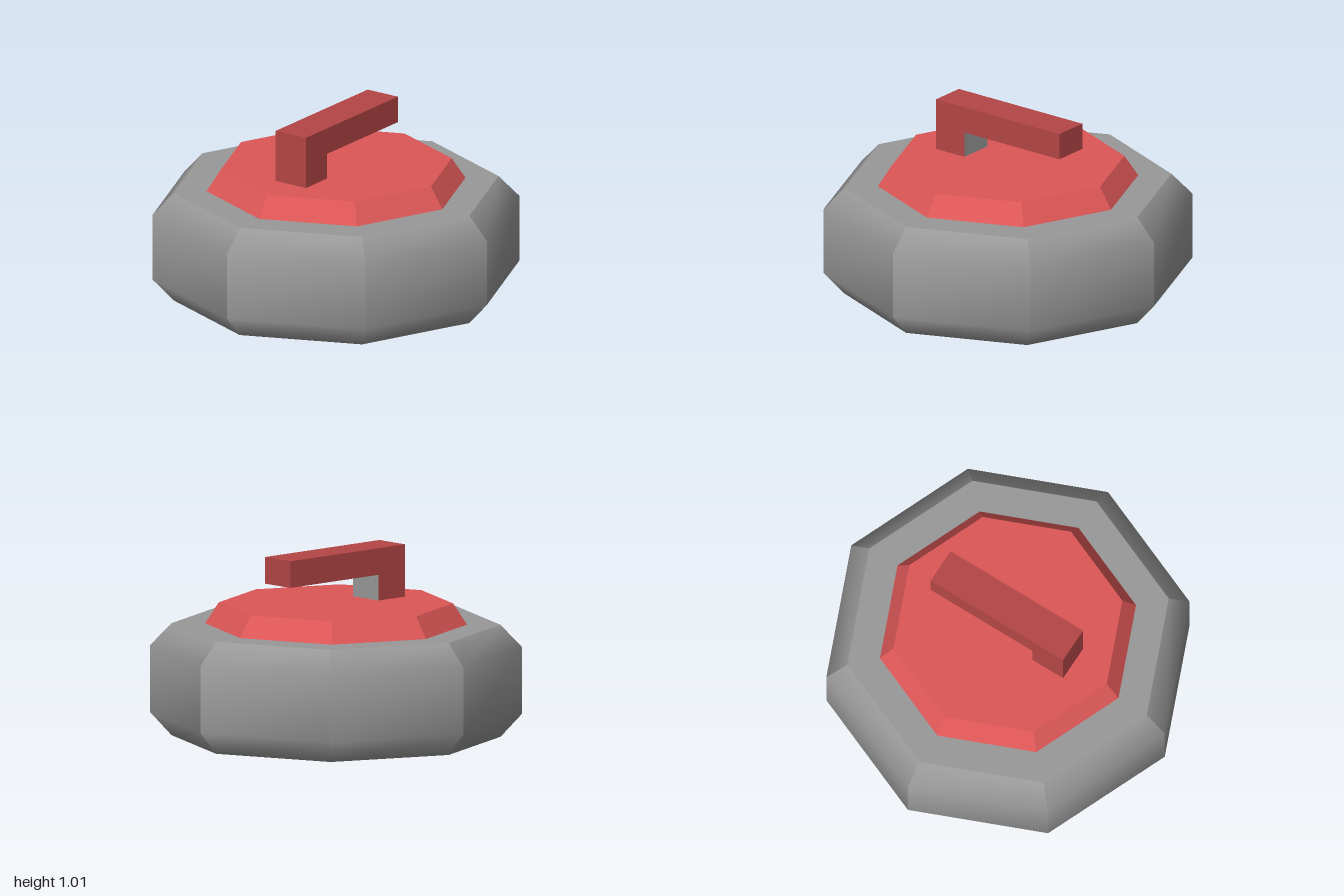
import * as THREE from 'three';
import { mergeGeometries } from 'three/addons/utils/BufferGeometryUtils.js';

const SIDES = 8;

// Flat octagonal lid with corners on the x and z axes.
function lid(radius, y, facing) {
  const g = new THREE.CircleGeometry(radius, SIDES);
  g.rotateX(-facing * Math.PI / 2).translate(0, y, 0);
  g.deleteAttribute('uv');
  return g;
}

// Octagonal solid from [radius, y] rings, bottom to top: each side is smooth
// along its height, with hard edges between sides and at the lids.
function octagonSolid(rings) {
  const pos = [], idx = [];
  for (let s = 0; s < SIDES; s++) {
    const base = pos.length / 3;
    for (const [r, y] of rings) {
      for (const k of [s, s + 1]) {
        const a = k / SIDES * Math.PI * 2;
        pos.push(r * Math.cos(a), y, r * Math.sin(a));
      }
    }
    for (let i = 0; i < rings.length - 1; i++) {
      const b = base + i * 2;
      idx.push(b, b + 2, b + 1, b + 1, b + 2, b + 3);
    }
  }
  const wall = new THREE.BufferGeometry();
  wall.setAttribute('position', new THREE.Float32BufferAttribute(pos, 3));
  wall.setIndex(idx);
  wall.computeVertexNormals();
  const first = rings[0], last = rings[rings.length - 1];
  return mergeGeometries([wall, lid(first[0], first[1], -1), lid(last[0], last[1], 1)]);
}

// Box given by its x and y limits, centred on z.
function block(x0, x1, y0, y1, depth) {
  return new THREE.BoxGeometry(x1 - x0, y1 - y0, depth)
    .translate((x0 + x1) / 2, (y0 + y1) / 2, 0);
}

export function createModel() {
  const mat = (name, color) => {
    const m = new THREE.MeshStandardMaterial({ color });
    m.name = name;
    return m;
  };
  const stoneGrey = mat('stoneGrey', 0x999999);
  const capRed = mat('capRed', 0xde5757);
  const handleRed = mat('handleRed', 0xb54646);

  const model = new THREE.Group();
  model.name = 'curlingStone';
  const add = (name, geometry, material, parent = model) => {
    const mesh = new THREE.Mesh(geometry, material);
    mesh.name = name;
    parent.add(mesh);
  };

  // Heavy bevelled stone and the tapered cap on top
  add('stoneBody', octagonSolid([[0.885, 0], [1, 0.125], [1, 0.49], [0.885, 0.61]]), stoneGrey);
  add('cap', octagonSolid([[0.705, 0.61], [0.63, 0.725]]), capRed);

  // Handle: overhanging grip on one post, whose inner face is grey
  const handle = new THREE.Group();
  handle.name = 'handle';
  model.add(handle);
  add('grip', block(-0.415, 0.43, 0.865, 1.01, 0.2), handleRed, handle);
  const postFaces = Array(6).fill(handleRed);
  postFaces[0] = stoneGrey;
  add('post', block(-0.415, -0.22, 0.725, 0.865, 0.2), postFaces, handle);

  return model;
}
